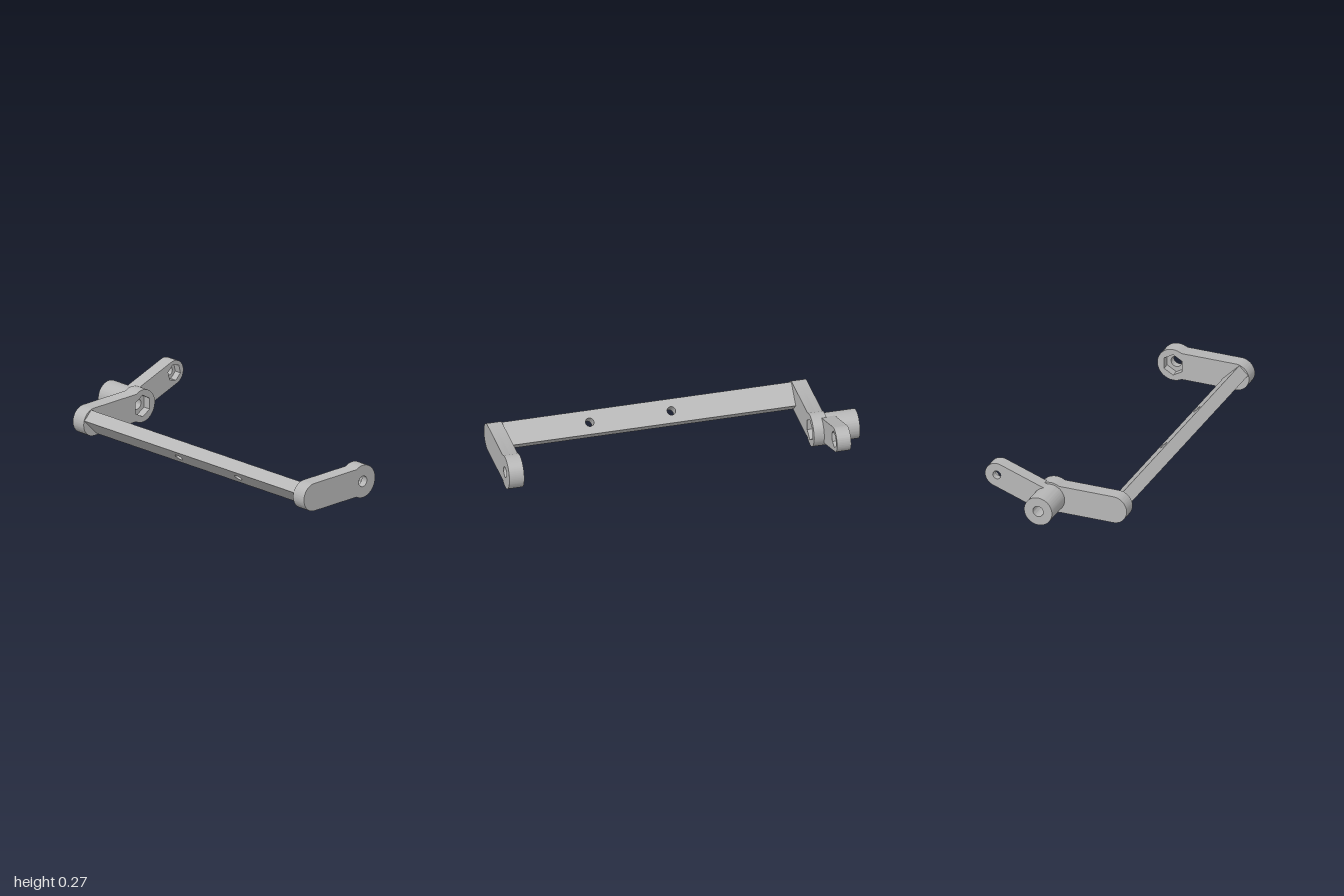
import * as THREE from 'three';
import { toCreasedNormals } from 'three/addons/utils/BufferGeometryUtils.js';

const PIVOT = [0.04, 0.094];   // axis shared by both arms, hub and lever
const BAR = [-0.333, 0.094];   // centre of the crossbar section
const TIP = [0.34, 0.2];       // far end of the lever

const steel = new THREE.MeshStandardMaterial({ color: 0xb6b6b6 });
steel.name = 'steel grey';

function circle([x, y], r) {
  return new THREE.Path().absarc(x, y, r, 0, Math.PI * 2, true);
}

function hexagon([x, y], r, turn) {
  const points = [];
  for (let i = 0; i < 6; i++) {
    const a = turn - (i * Math.PI) / 3;
    points.push(new THREE.Vector2(x + r * Math.cos(a), y + r * Math.sin(a)));
  }
  return new THREE.Path(points);
}

// Rounded link between two centres; the second end may be wider than the first.
function link([x1, y1], r1, [x2, y2], r2) {
  const dir = Math.atan2(y2 - y1, x2 - x1);
  const neck = Math.PI - Math.asin(r1 / r2);
  const shape = new THREE.Shape();
  shape.absarc(x1, y1, r1, dir + Math.PI / 2, dir + Math.PI * 1.5, false);
  shape.absarc(x2, y2, r2, dir - neck, dir + neck, false);
  return shape;
}

// Extruded plate from z0 to z1 with the given holes cut through it.
function plate(name, shape, holes, z0, z1) {
  shape.holes = holes;
  const solid = new THREE.ExtrudeGeometry(shape, { depth: z1 - z0, bevelEnabled: false, curveSegments: 40 });
  solid.translate(0, 0, z0);
  const mesh = new THREE.Mesh(toCreasedNormals(solid, 0.5), steel);
  mesh.name = name;
  return mesh;
}

// Arm with a bore and a hexagonal nut pocket on its inner side.
function arm(name, zOuter, zMiddle, zInner) {
  const group = new THREE.Group();
  group.name = name;
  const layer = (part, hole, a, b) => group.add(
    plate(part, link(BAR, 0.08, PIVOT, 0.094), [hole], Math.min(a, b), Math.max(a, b)));
  layer('armOuterLayer', circle(PIVOT, 0.031), zOuter, zMiddle);
  layer('armNutPocketLayer', hexagon(PIVOT, 0.063, Math.PI / 2), zMiddle, zInner);
  return group;
}

export function createModel() {
  const model = new THREE.Group();
  model.name = 'crankBracket';

  model.add(arm('frontArm', 1, 0.96, 0.915));
  model.add(arm('backArm', -0.82, -0.78, -0.735));

  // Crossbar: flat bar turned 45 degrees, drilled twice through its wide faces
  const half = 0.0685;
  const outline = new THREE.Shape([
    new THREE.Vector2(-0.737, -half), new THREE.Vector2(0.917, -half),
    new THREE.Vector2(0.917, half), new THREE.Vector2(-0.737, half),
  ]);
  const holes = [-0.04, 0.425].map((z) => circle([z, 0], 0.024));
  const bar = plate('crossbar', outline, holes, -0.0365, 0.0365);
  const s = Math.SQRT1_2;
  bar.geometry.applyMatrix4(new THREE.Matrix4().makeBasis(
    new THREE.Vector3(0, 0, 1), new THREE.Vector3(s, -s, 0), new THREE.Vector3(s, s, 0)));
  bar.position.set(BAR[0], BAR[1], 0);
  model.add(bar);

  // Hub: tube standing out behind the back arm
  const hub = new THREE.Shape().absarc(PIVOT[0], PIVOT[1], 0.083, 0, Math.PI * 2, false);
  model.add(plate('hub', hub, [circle(PIVOT, 0.031)], -1, -0.815));

  // Lever: slanted link with a nut pocket at the front of its tip
  const lever = new THREE.Group();
  lever.name = 'lever';
  const leverShape = () => link(PIVOT, 0.07, TIP, 0.07);
  lever.add(plate('leverBackLayer', leverShape(), [circle(PIVOT, 0.031), circle(TIP, 0.024)], -0.873, -0.833));
  lever.add(plate('leverNutPocketLayer', leverShape(),
    [circle(PIVOT, 0.031), hexagon(TIP, 0.049, Math.PI * 0.247)], -0.833, -0.793));
  model.add(lever);

  return model;
}
